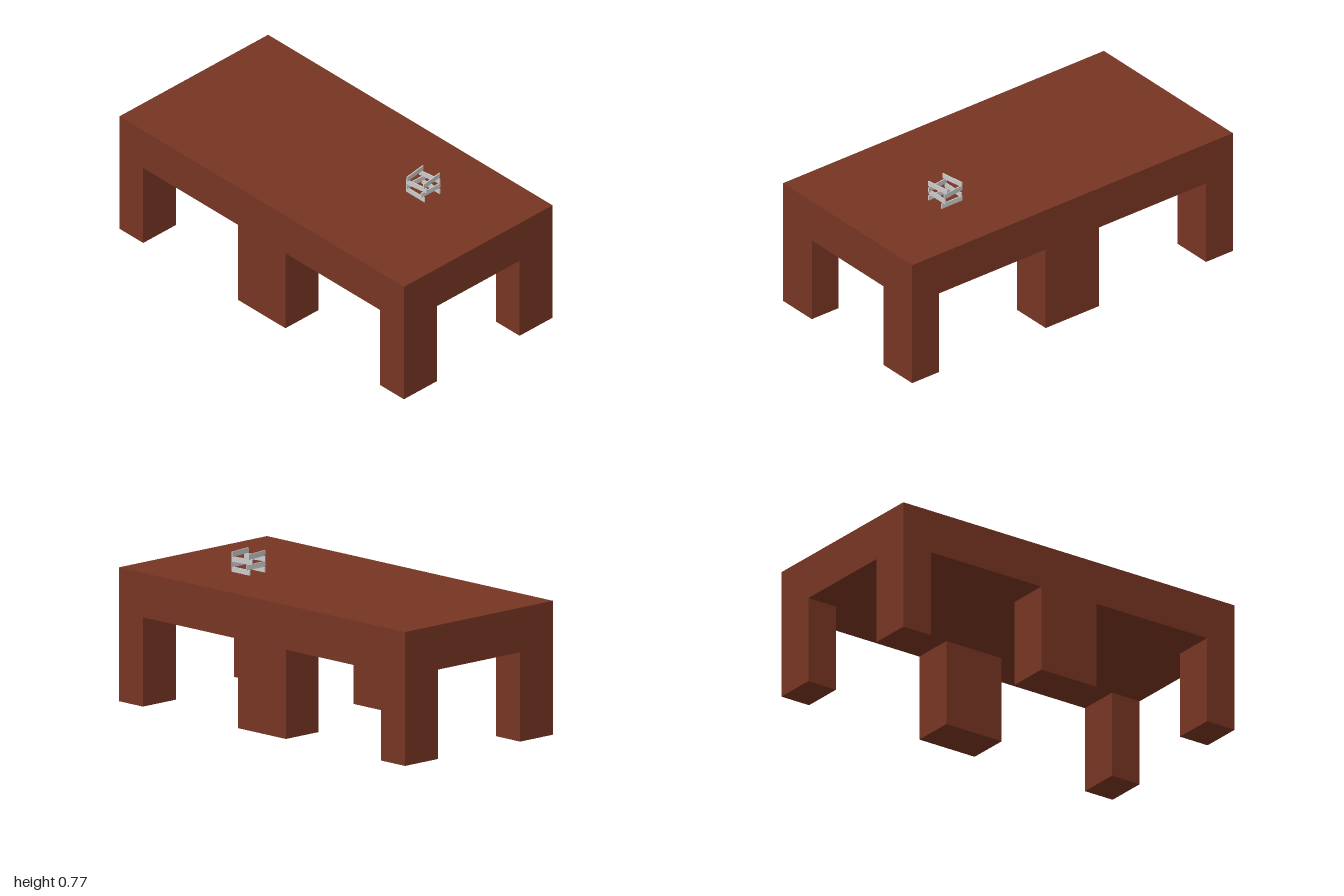
import * as THREE from 'three';

const TOP = 0.667, UNDER = 0.445, LEG_X = 0.167, LEG_Z = 0.222;

export function createModel() {
  const group = new THREE.Group();
  const wood = new THREE.MeshStandardMaterial({ color: 0x773522 });
  const grey = new THREE.MeshStandardMaterial({ color: 0xcccccc });

  const addBox = (parent, name, material, size, position) => {
    const mesh = new THREE.Mesh(new THREE.BoxGeometry(...size), material);
    mesh.name = name;
    mesh.position.set(...position);
    parent.add(mesh);
  };

  // Two square tables side by side, each a thick slab on four corner legs
  for (const side of [-1, 1]) {
    const table = new THREE.Group();
    table.name = side < 0 ? 'rightTable' : 'leftTable';
    table.position.x = side * 0.5;
    addBox(table, 'tableTop', wood, [1, TOP - UNDER, 1], [0, (TOP + UNDER) / 2, 0]);
    for (const sx of [-1, 1]) for (const sz of [-1, 1]) {
      addBox(table, sz > 0 ? 'frontLeg' : 'backLeg', wood, [LEG_X, UNDER, LEG_Z],
        [sx * (1 - LEG_X) / 2, UNDER / 2, sz * (1 - LEG_Z) / 2]);
    }
    group.add(table);
  }

  // Small stack of planks: crossing pairs, the upper two layers twisted a little
  const stack = new THREE.Group();
  stack.name = 'plankStack';
  stack.position.set(0.488, TOP, -0.12);
  const height = 0.0262, length = 0.128, thickness = 0.006, spacing = 0.102;
  [0, 0, 0.14, 0.14].forEach((twist, i) => {
    const layer = new THREE.Group();
    layer.name = 'plankLayer';
    layer.position.y = (i + 0.5) * height;
    layer.rotation.y = twist + (i % 2 ? Math.PI / 2 : 0);
    for (const s of [-1, 1]) {
      addBox(layer, 'plank', grey, [length, height, thickness], [0, 0, s * spacing / 2]);
    }
    stack.add(layer);
  });
  group.add(stack);

  return group;
}
